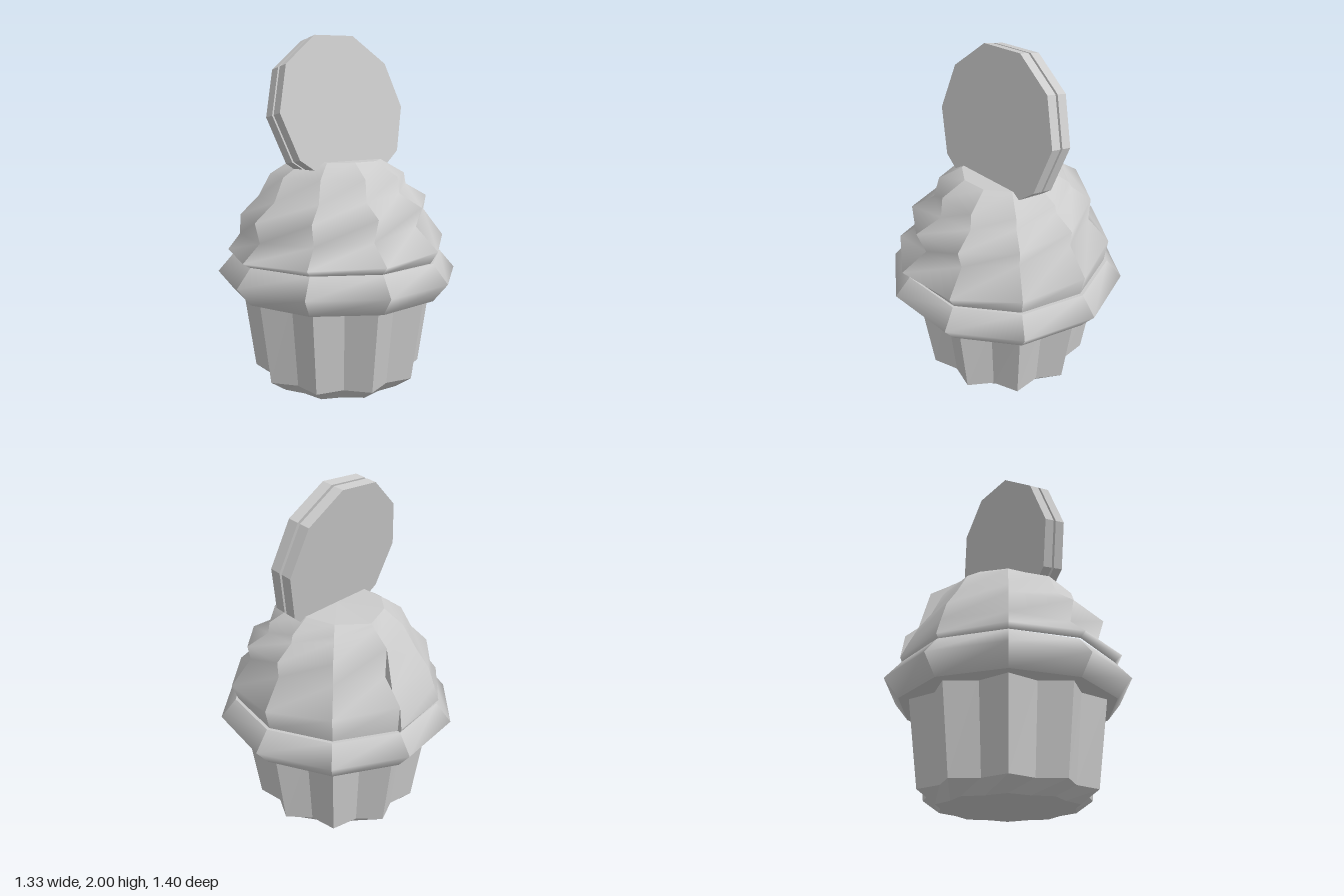
import * as THREE from 'three';
import { mergeGeometries } from 'three/addons/utils/BufferGeometryUtils.js';

const material = (options = {}) => new THREE.MeshStandardMaterial({ color: 0xcccccc, ...options });

// Point at radius r and height y; angles start at the back and turn towards -x
const polar = (angle, [r, y]) => [-r * Math.sin(angle), y, -r * Math.cos(angle)];

// Joins columns of points; shading is smooth along a column, creased between columns
function skin(columns) {
  const strips = [];
  for (let k = 0; k < columns.length - 1; k++) {
    const n = columns[k].length, index = [];
    for (let i = 0; i < n - 1; i++) {
      index.push(i, n + i, n + i + 1, i, n + i + 1, i + 1);
    }
    const strip = new THREE.BufferGeometry();
    strip.setAttribute('position', new THREE.Float32BufferAttribute([...columns[k], ...columns[k + 1]].flat(), 3));
    strip.setIndex(index);
    strip.computeVertexNormals();
    strips.push(strip);
  }
  return mergeGeometries(strips);
}

// Sweeps a profile, which may change with the column number, once around y
function sweep(sides, profileAt) {
  return skin(Array.from({ length: sides + 1 }, (_, k) =>
    profileAt(k).map((p) => polar((k / sides) * Math.PI * 2, p))));
}

function add(parent, name, geometry, options) {
  const mesh = new THREE.Mesh(geometry, material(options));
  mesh.name = name;
  parent.add(mesh);
  return mesh;
}

// Frosting profiles [radius, height] at some of the ten columns
const swirlKeys = [
  [0, [[0.61, 0.755], [0.62, 0.78], [0.58, 0.87], [0.53, 0.97], [0.46, 1.07], [0.40, 1.2], [0.33, 1.29]]],
  [1, [[0.60, 0.755], [0.62, 0.78], [0.59, 0.87], [0.55, 0.98], [0.47, 1.09], [0.39, 1.22], [0.28, 1.3]]],
  [3, [[0.62, 0.755], [0.66, 0.78], [0.55, 0.875], [0.58, 0.99], [0.45, 1.09], [0.39, 1.22], [0.25, 1.3]]],
  [5, [[0.60, 0.755], [0.65, 0.8], [0.50, 0.9], [0.55, 1.03], [0.40, 1.1], [0.385, 1.22], [0.25, 1.3]]],
  [7.5, [[0.59, 0.755], [0.62, 0.86], [0.51, 1.03], [0.515, 1.1], [0.40, 1.17], [0.39, 1.22], [0.25, 1.3]]],
  [10, [[0.59, 0.755], [0.60, 0.91], [0.465, 1.03], [0.47, 1.2], [0.36, 1.27], [0.34, 1.285], [0.33, 1.29]]],
];

function swirlProfile(k) {
  const j = Math.max(1, swirlKeys.findIndex(([key]) => key >= k));
  const [k0, a] = swirlKeys[j - 1], [k1, b] = swirlKeys[j];
  const t = (k - k0) / (k1 - k0);
  return a.map((p, i) => p.map((v, c) => THREE.MathUtils.lerp(v, b[i][c], t)));
}

export function createModel() {
  const model = new THREE.Group();
  model.name = 'cupcake';

  // Pleated paper cup: ten ridges and ten grooves
  const ridge = [[0, 0], [0.39, 0], [0.49, 0.07], [0.56, 0.56]];
  const groove = [[0, 0], [0.355, 0], [0.42, 0.07], [0.475, 0.56]];
  add(model, 'paperCup', sweep(20, (k) => (k % 2 ? groove : ridge)), { flatShading: true });

  // Cake rim with flat underside and top
  const rim = new THREE.Group();
  rim.name = 'cakeRim';
  model.add(rim);
  add(rim, 'rimEdge', sweep(10, () => [[0.615, 0.545], [0.70, 0.65], [0.61, 0.755]]));
  add(rim, 'rimUnderside', sweep(10, () => [[0, 0.545], [0.615, 0.545]]));
  add(rim, 'rimTop', sweep(10, () => [[0.61, 0.755], [0, 0.755]]));

  // Frosting spiral, its cut end at the back and its flat top
  const frosting = new THREE.Group();
  frosting.name = 'frosting';
  model.add(frosting);
  add(frosting, 'swirl', sweep(10, swirlProfile));
  add(frosting, 'swirlEnd', skin([10, 0].map((k) => swirlProfile(k).map((p) => polar(0, p)))),
    { side: THREE.DoubleSide, flatShading: true });
  add(frosting, 'swirlTop', sweep(10, (k) => [swirlProfile(k)[6], [0, 1.3]]), { flatShading: true });

  // Sandwich cookie pushed into the top, leaning back and turned
  const cookie = new THREE.Group();
  cookie.name = 'cookie';
  cookie.rotation.set(-0.19, 0.28, 0, 'YXZ');
  cookie.position.set(0.01, 1.585, 0.08);
  model.add(cookie);
  const layers = [
    ['frontWafer', 0.44, 0.06, -0.03],
    ['filling', 0.415, 0.03, -0.07],
    ['backWafer', 0.44, 0.06, -0.105],
  ];
  for (const [name, radius, depth, z] of layers) {
    const disc = new THREE.CylinderGeometry(radius, radius, depth, 10);
    disc.rotateX(Math.PI / 2).rotateZ(-0.28).translate(0, 0, z);
    add(cookie, name, disc, { flatShading: true });
  }

  return model;
}
